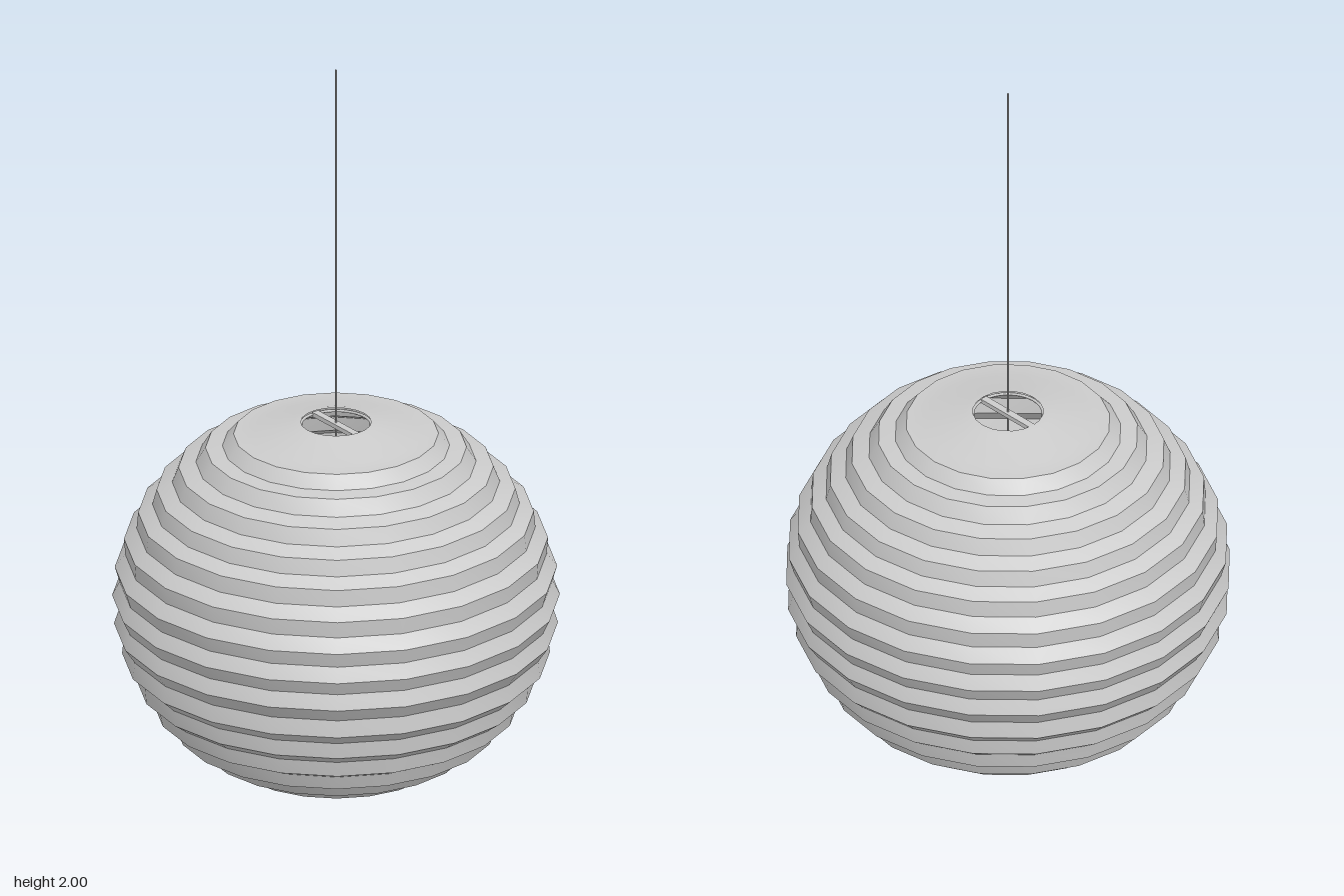
import * as THREE from 'three';
import { toCreasedNormals } from 'three/addons/utils/BufferGeometryUtils.js';

const material = new THREE.MeshStandardMaterial({ color: 0xcccccc, side: THREE.DoubleSide });

function add(group, name, geometry, x = 0, y = 0, z = 0) {
  const mesh = new THREE.Mesh(geometry, material);
  mesh.name = name;
  mesh.position.set(x, y, z);
  group.add(mesh);
  return mesh;
}

// Rib crests from bottom to top: [radius, height]
const crests = [
  [0.11, 0], [0.19, 0.02], [0.275, 0.05], [0.35, 0.09], [0.42, 0.14], [0.475, 0.2],
  [0.52, 0.27], [0.557, 0.345], [0.578, 0.43], [0.583, 0.51], [0.576, 0.59], [0.552, 0.67],
  [0.515, 0.745], [0.467, 0.81], [0.41, 0.873], [0.34, 0.928], [0.267, 0.967],
];

// Pleated paper: a valley is pressed inwards between each pair of crests
function shadeProfile() {
  const points = [new THREE.Vector2(0.092, 0.002)];
  crests.forEach(([r, y], i) => {
    points.push(new THREE.Vector2(r, y));
    const next = crests[i + 1];
    if (!next) return;
    const inward = new THREE.Vector2(next[1] - y, r - next[0]).normalize();
    const depth = i === 0 ? 0.006 : 0.016;
    points.push(new THREE.Vector2((r + next[0]) / 2, (y + next[1]) / 2).addScaledVector(inward, -depth));
  });
  // Smooth crown around the upper opening
  points.push(new THREE.Vector2(0.215, 0.969), new THREE.Vector2(0.11, 0.998), new THREE.Vector2(0.092, 1));
  return points;
}

export function createModel() {
  const lantern = new THREE.Group();
  lantern.name = 'hangingPaperLantern';

  add(lantern, 'paperShade', toCreasedNormals(new THREE.LatheGeometry(shadeProfile(), 20), 0.45));

  // Rim and cross bar at each opening
  for (const [end, y] of [['bottom', 0.008], ['top', 0.992]]) {
    const rim = add(lantern, end + 'Rim', new THREE.TorusGeometry(0.092, 0.004, 6, 32), 0, y, 0);
    rim.rotation.x = Math.PI / 2;
    add(lantern, end + 'CrossBar', new THREE.BoxGeometry(0.02, 0.012, 0.184), 0, y, 0);
  }

  // Cable, socket and bulb
  add(lantern, 'cable', new THREE.CylinderGeometry(0.002, 0.002, 1.01, 8), 0, 1.495, 0);
  add(lantern, 'innerCable', new THREE.CylinderGeometry(0.002, 0.002, 0.39, 8), 0, 0.8, 0);
  add(lantern, 'socket', new THREE.CylinderGeometry(0.03, 0.03, 0.08, 20), 0, 0.6, 0);
  add(lantern, 'bulb', new THREE.SphereGeometry(0.1, 24, 16), 0, 0.48, 0);

  return lantern;
}
